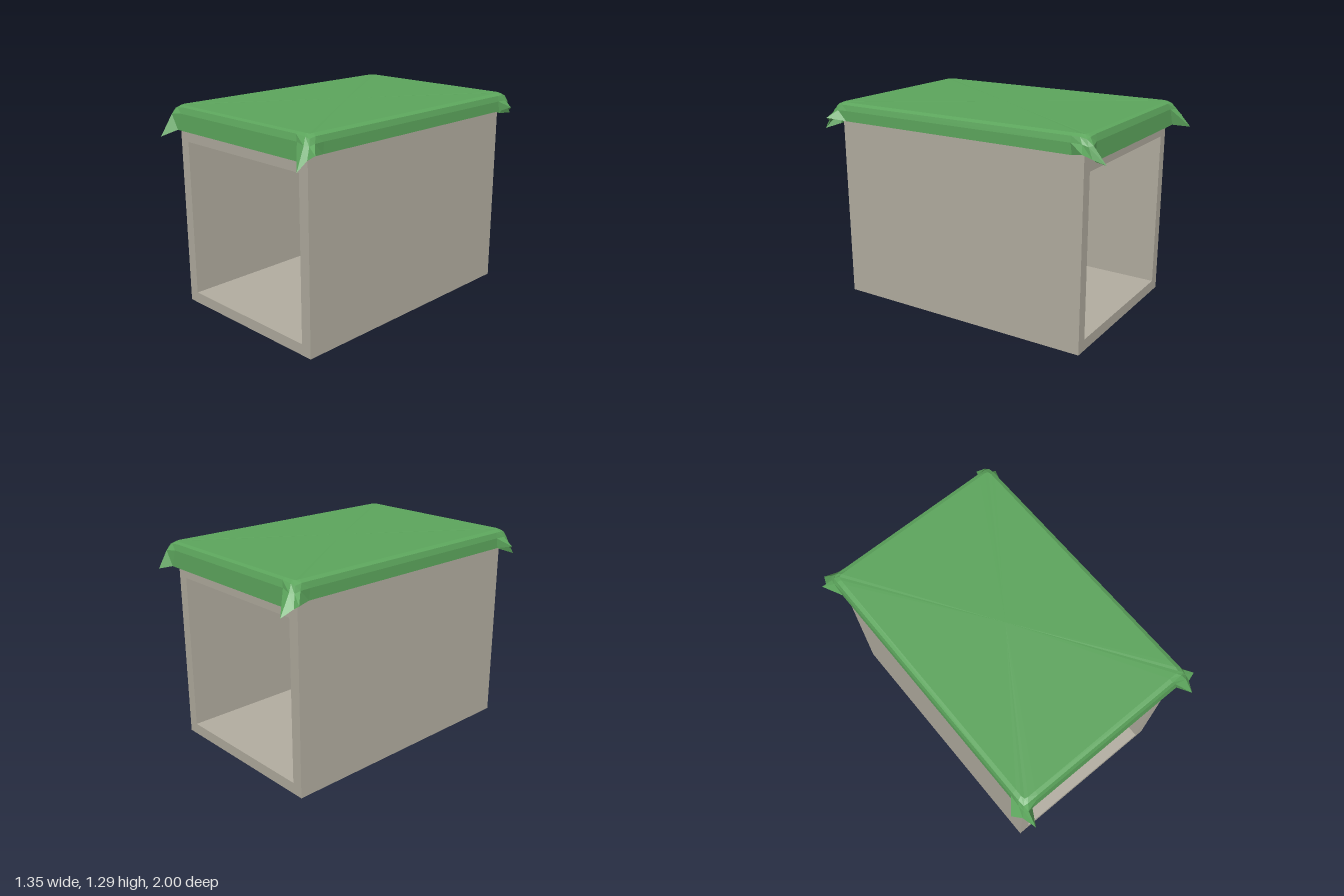
import * as THREE from 'three';

export function createModel() {
  const group = new THREE.Group();
  group.name = 'coveredBox';
  const stone = new THREE.MeshStandardMaterial({ color: 0xb2ada0 });
  stone.name = 'warmGrey';
  const cloth = new THREE.MeshStandardMaterial({ color: 0x5ca55c, flatShading: true, side: THREE.DoubleSide });
  cloth.name = 'clothGreen';

  // Square tube, open at front and back
  const rect = (T, x0, y0, x1, y1) => {
    const s = new T();
    s.moveTo(x0, y0);
    s.lineTo(x1, y0);
    s.lineTo(x1, y1);
    s.lineTo(x0, y1);
    s.closePath();
    return s;
  };
  const outline = rect(THREE.Shape, -0.58, 0, 0.56, 1.25);
  outline.holes.push(rect(THREE.Path, -0.51, 0.07, 0.49, 1.07));
  const tubeGeo = new THREE.ExtrudeGeometry(outline, { depth: 1.715, bevelEnabled: false });
  tubeGeo.translate(0, 0, -0.85);
  const tube = new THREE.Mesh(tubeGeo, stone);
  tube.name = 'openBox';
  group.add(tube);

  // Draped cover: each ring lists one corner from its side edge round to its front edge
  const rings = [
    [[0.575, 1.293, 0.79], [0.575, 1.293, 0.83], [0.57, 1.291, 0.855], [0.55, 1.293, 0.86], [0.5, 1.293, 0.86]],
    [[0.60, 1.28, 0.79], [0.60, 1.28, 0.84], [0.597, 1.272, 0.88], [0.57, 1.28, 0.885], [0.5, 1.285, 0.885]],
    [[0.61, 1.245, 0.79], [0.615, 1.245, 0.86], [0.61, 1.235, 0.895], [0.59, 1.24, 0.915], [0.52, 1.248, 0.898]],
    [[0.612, 1.18, 0.80], null, null, null, [0.55, 1.145, 0.905]],
  ];
  // Hanging tips of the gathered corners, in the order the rings are walked
  const corners = [
    { x: 1, z: 1, tips: [[0.67, 1.20, 0.91], [0.625, 1.17, 0.925], [0.61, 1.115, 0.985]] },
    { x: -1, z: 1, tips: [[0.675, 1.19, 0.87], [0.63, 1.16, 0.915], [0.60, 1.11, 0.995]] },
    { x: -1, z: -1, tips: [[0.675, 1.19, 0.92], [0.645, 1.17, 0.93], [0.62, 1.13, 1.0]] },
    { x: 1, z: -1, tips: [[0.65, 1.20, 0.88], [0.61, 1.17, 0.92], [0.575, 1.14, 0.985]] },
  ];
  const loops = rings.map((ring) => corners.flatMap(({ x, z, tips }) => {
    const pts = ring.map((p, i) => {
      const [px, py, pz] = p || tips[i - 1];
      return [px * x - 0.004, py, pz * z];
    });
    return x * z > 0 ? pts : pts.reverse();
  }));

  const pos = [];
  const tri = (...pts) => pts.forEach((p) => pos.push(...p));
  const n = loops[0].length;
  for (let i = 0; i < n; i++) {
    const j = (i + 1) % n;
    tri([0, 1.293, 0], loops[0][j], loops[0][i]);
    for (let r = 0; r < loops.length - 1; r++) {
      const a = loops[r], b = loops[r + 1];
      tri(a[i], a[j], b[i]);
      tri(a[j], b[j], b[i]);
    }
  }
  const coverGeo = new THREE.BufferGeometry();
  coverGeo.setAttribute('position', new THREE.Float32BufferAttribute(pos, 3));
  coverGeo.computeVertexNormals();
  const cover = new THREE.Mesh(coverGeo, cloth);
  cover.name = 'drapedCover';
  group.add(cover);

  return group;
}
